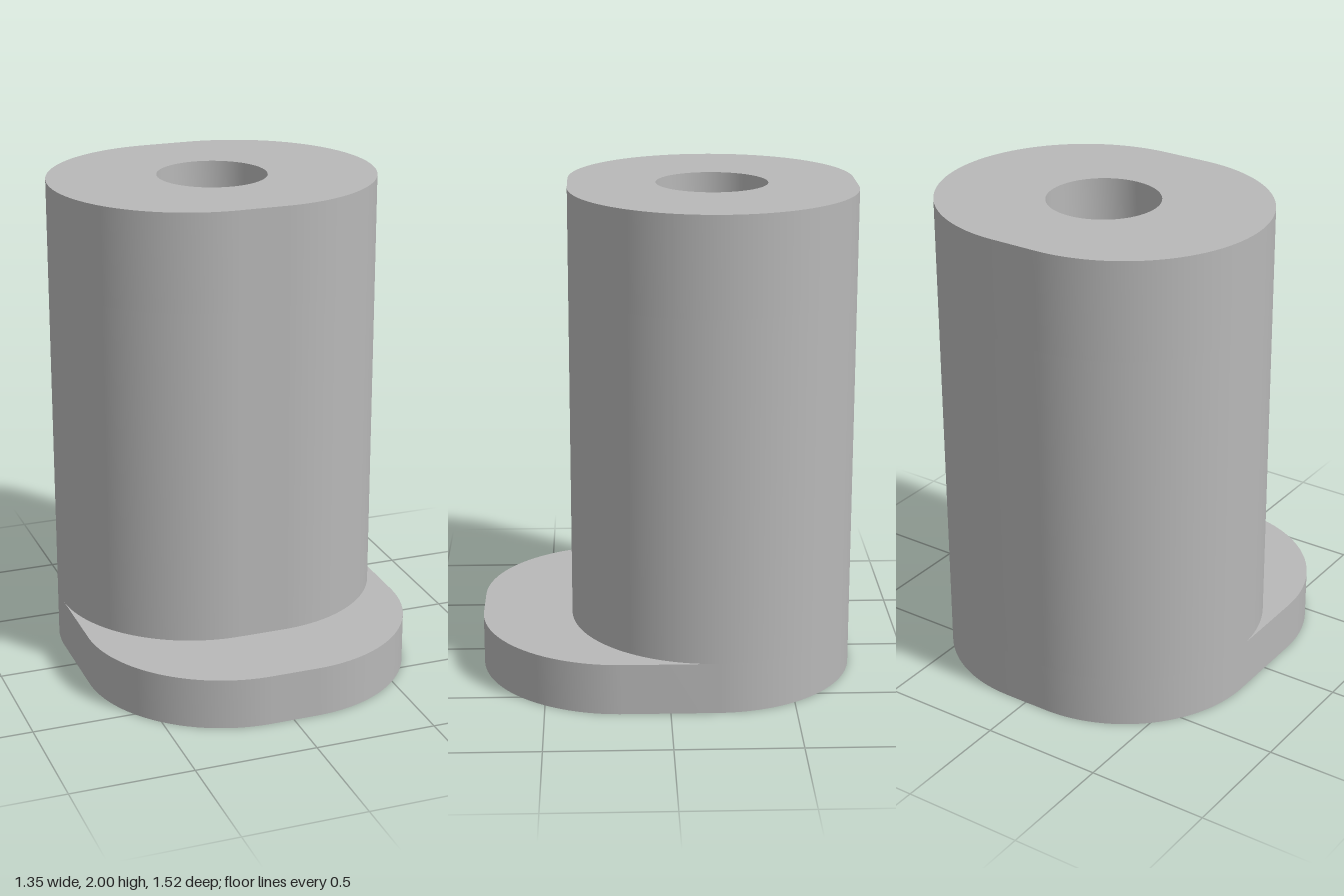
import * as THREE from 'three';
import { toCreasedNormals } from 'three/addons/utils/BufferGeometryUtils.js';

const R = 0.5775;      // end radius of the outline
const FLAT = 0.0975;   // half length of the short flat at front and back
const AXIS_Z = -0.185; // bore axis

// Rounded outline whose front corner arcs are centred at frontZ (shape y = -z)
function outline(frontZ, boreRadius) {
  const s = new THREE.Shape();
  s.absarc(FLAT, -AXIS_Z, R, 0, Math.PI / 2);
  s.absarc(-FLAT, -AXIS_Z, R, Math.PI / 2, Math.PI);
  s.absarc(-FLAT, -frontZ, R, Math.PI, Math.PI * 1.5);
  s.absarc(FLAT, -frontZ, R, Math.PI * 1.5, Math.PI * 2);
  s.closePath();
  const bore = new THREE.Path();
  bore.absarc(0, -AXIS_Z, boreRadius, 0, Math.PI * 2, true);
  s.holes.push(bore);
  return s;
}

export function createModel() {
  const group = new THREE.Group();
  group.name = 'flangedBushing';
  const grey = new THREE.MeshStandardMaterial({ color: 0xb8b8b8 });
  grey.name = 'grey';

  function addLayer(name, y0, y1, frontZ, boreRadius) {
    const geo = new THREE.ExtrudeGeometry(outline(frontZ, boreRadius), {
      depth: y1 - y0, bevelEnabled: false, curveSegments: 32,
    });
    geo.rotateX(-Math.PI / 2);
    geo.translate(0, y0, 0);
    const mesh = new THREE.Mesh(toCreasedNormals(geo, Math.PI / 6), grey);
    mesh.name = name;
    group.add(mesh);
  }

  // Foot extended to the front, wide-bored column, narrow-bored head
  addLayer('foot', 0, 0.21, 0.185, 0.42);
  addLayer('column', 0.21, 1.6, AXIS_Z, 0.42);
  addLayer('head', 1.6, 2, AXIS_Z, 0.225);
  return group;
}
